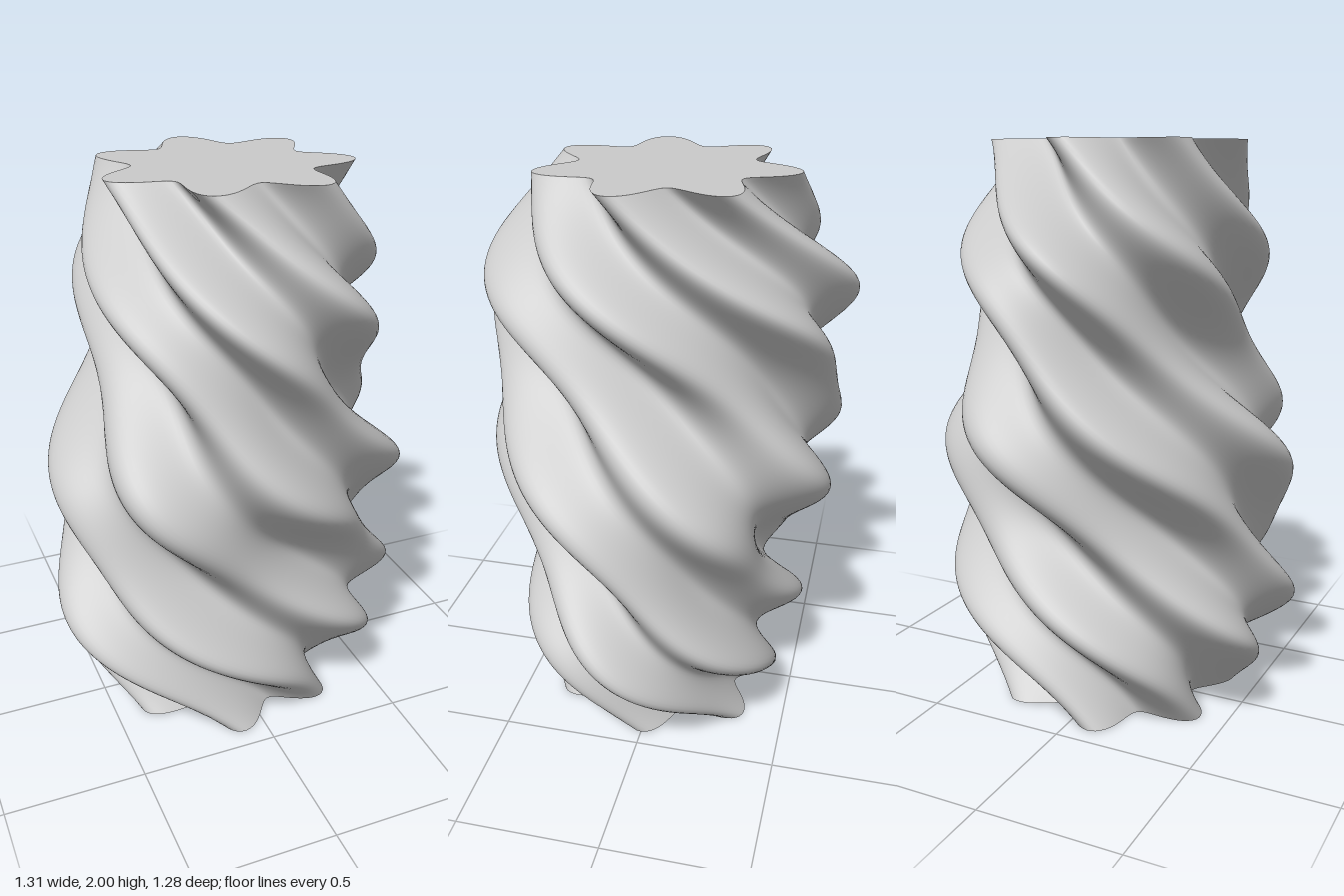
import * as THREE from 'three';

const LOBES = 7;
const SIDES = 168;
const STEPS = 140;
const HEIGHT = 2;

// Point on the fluted wall at angle index i and height y
function wallPoint(i, y) {
  const around = (i / SIDES) * Math.PI * 2;
  const wave = Math.sin(Math.PI * y);
  // Three quarters of a turn, a little slower around the middle
  const a = around + 0.75 * Math.PI * y + 0.13 * wave;
  // Flutes of even depth
  const flute = 0.07 * (Math.cos(LOBES * around) - 1);
  // Overall belly, slightly fuller low down, plus three gentle rings
  const belly = 0.477 + 0.121 * Math.sin((Math.PI * y) / 2) + 0.008 * wave;
  const radius = belly + 0.04 * Math.cos(3.125 * Math.PI * (y - 1)) + flute;
  // Wide in x low down, wide in z high up
  const sway = 0.074 * wave;
  return [(radius + sway) * Math.cos(a), y, (radius - sway) * Math.sin(a)];
}

function buildGeometry(positions, indices) {
  const g = new THREE.BufferGeometry();
  g.setAttribute('position', new THREE.Float32BufferAttribute(positions, 3));
  g.setIndex(indices);
  g.computeVertexNormals();
  return g;
}

// Twisted side wall from stacked rings
function wallGeometry() {
  const positions = [];
  const indices = [];
  for (let j = 0; j <= STEPS; j++) {
    for (let i = 0; i < SIDES; i++) positions.push(...wallPoint(i, (HEIGHT * j) / STEPS));
  }
  for (let j = 0; j < STEPS; j++) {
    for (let i = 0; i < SIDES; i++) {
      const n = (i + 1) % SIDES;
      const a = j * SIDES + i, b = j * SIDES + n;
      const c = a + SIDES, d = b + SIDES;
      indices.push(a, c, b, b, c, d);
    }
  }
  return buildGeometry(positions, indices);
}

// Flat star-shaped end
function capGeometry(y, up) {
  const positions = [0, y, 0];
  const indices = [];
  for (let i = 0; i < SIDES; i++) {
    positions.push(...wallPoint(i, y));
    const a = i + 1, b = ((i + 1) % SIDES) + 1;
    if (up) indices.push(0, b, a);
    else indices.push(0, a, b);
  }
  return buildGeometry(positions, indices);
}

export function createModel() {
  const group = new THREE.Group();
  group.name = 'twistedColumn';
  const grey = new THREE.MeshStandardMaterial({ color: 0xcacaca });
  grey.name = 'grey';

  const add = (name, geometry) => {
    const mesh = new THREE.Mesh(geometry, grey);
    mesh.name = name;
    group.add(mesh);
  };
  add('flutedWall', wallGeometry());
  add('topCap', capGeometry(HEIGHT, true));
  add('bottomCap', capGeometry(0, false));
  return group;
}
